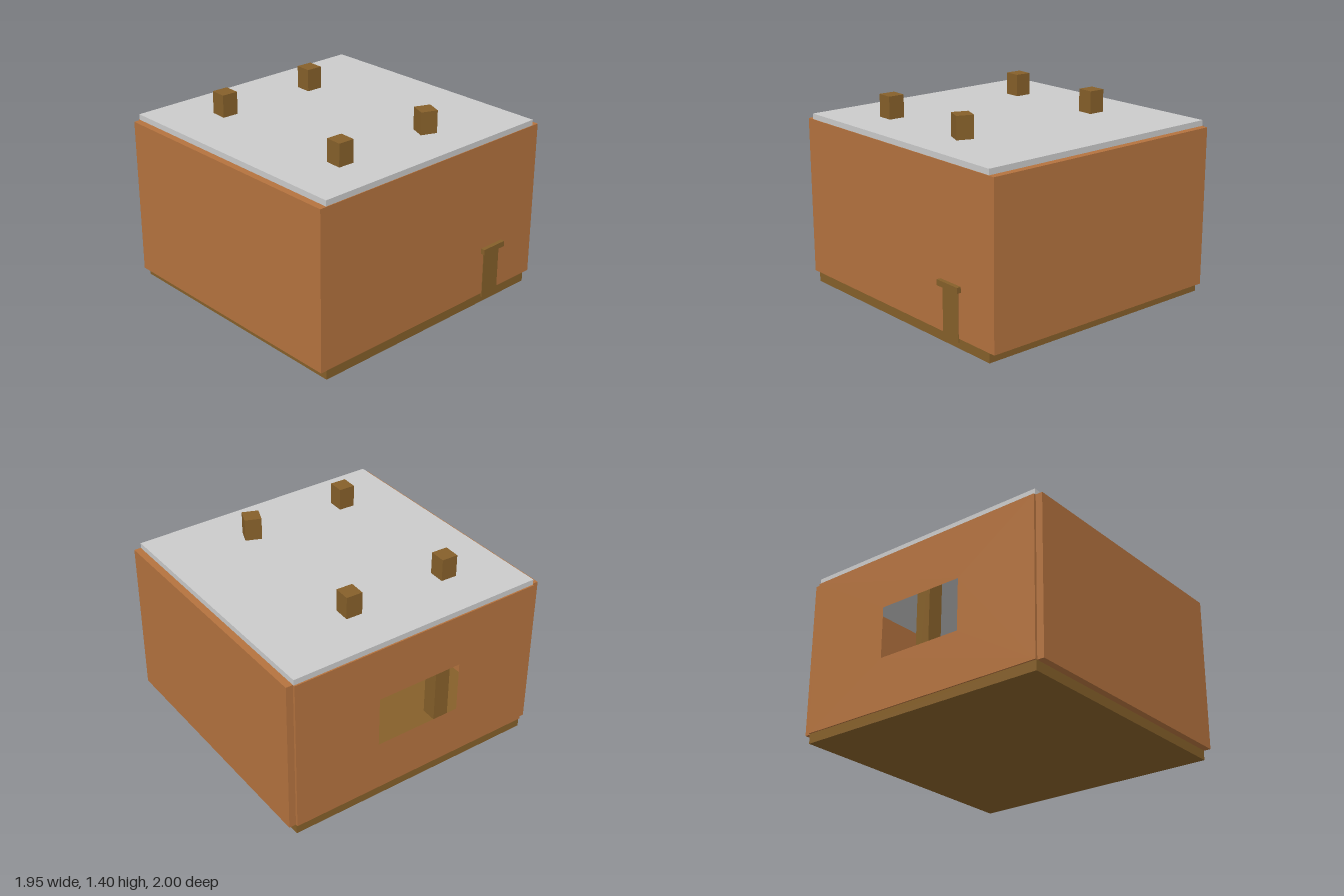
import * as THREE from 'three';

export function createModel() {
  const group = new THREE.Group();
  const clay = new THREE.MeshStandardMaterial({ color: 0xb5733f, flatShading: true });
  const wood = new THREE.MeshStandardMaterial({ color: 0x86602a, flatShading: true });
  const grey = new THREE.MeshStandardMaterial({ color: 0xcccccc, flatShading: true });

  const add = (name, geometry, material) => {
    const mesh = new THREE.Mesh(geometry, material);
    mesh.name = name;
    group.add(mesh);
    return mesh;
  };
  // Box given by its extents along each axis
  const box = (name, [x0, x1], [y0, y1], [z0, z1], material) => {
    const mesh = add(name, new THREE.BoxGeometry(x1 - x0, y1 - y0, z1 - z0), material);
    mesh.position.set((x0 + x1) / 2, (y0 + y1) / 2, (z0 + z1) / 2);
    return mesh;
  };

  const floorTop = 0.07, wallTop = 1.2, roofTop = 1.24;
  const slabX = [-0.965, 0.935], slabZ = [-0.95, 0.95], wallY = [floorTop, wallTop];

  // Floor and flat roof
  box('floor', slabX, [0, floorTop], slabZ, wood);
  box('roof', slabX, [wallTop, roofTop], slabZ, grey);

  // Solid walls
  box('frontWall', [-0.957, 0.94], wallY, [0.95, 1], clay);
  box('backWall', [-0.957, 0.94], wallY, [-1, -0.95], clay);
  box('doorWall', [0.87, 0.94], wallY, slabZ, clay);

  // Wall with a window opening, drawn in z and y and extruded along x
  const rectangle = (path, z0, z1, y0, y1) => {
    path.moveTo(-z0, y0);
    path.lineTo(-z1, y0);
    path.lineTo(-z1, y1);
    path.lineTo(-z0, y1);
    path.closePath();
    return path;
  };
  const outline = rectangle(new THREE.Shape(), -0.95, 0.95, floorTop, wallTop);
  outline.holes.push(rectangle(new THREE.Path(), -0.31, 0.34, 0.44, 0.81));
  const windowGeometry = new THREE.ExtrudeGeometry(outline, { depth: 0.07, bevelEnabled: false });
  windowGeometry.rotateY(Math.PI / 2);
  add('windowWall', windowGeometry, clay).position.x = -0.975;

  // Door and its lintel
  box('door', [0.86, 0.944], [0.04, 0.39], [-0.655, -0.5], wood);
  box('doorLintel', [0.86, 0.97], [0.385, 0.425], [-0.68, -0.475], wood);

  // Posts rising from the floor through the roof: x, z, turn
  const posts = [
    [-0.575, -0.265, -0.04],
    [0.58, -0.265, -0.38],
    [-0.575, 0.505, -0.04],
    [0.58, 0.505, -0.04],
  ];
  for (const [x, z, turn] of posts) {
    const post = add('post', new THREE.BoxGeometry(0.118, 1.4 - floorTop, 0.118), wood);
    post.position.set(x, (1.4 + floorTop) / 2, z);
    post.rotation.y = turn;
  }

  return group;
}
